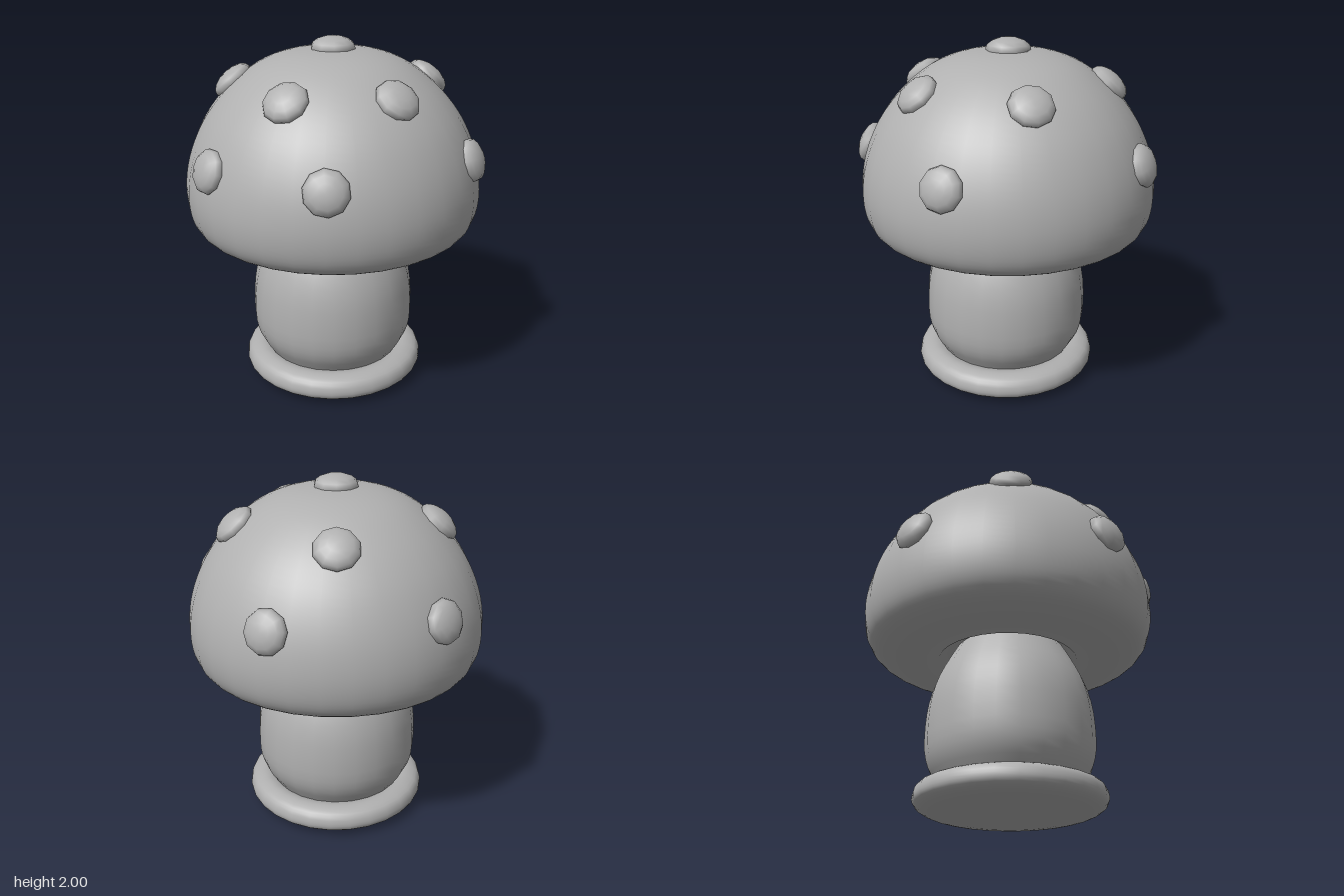
import * as THREE from 'three';

const toPoints = (list) => list.map(([r, y]) => new THREE.Vector2(r, y));

export function createModel() {
  const group = new THREE.Group();
  const clay = new THREE.MeshStandardMaterial({ name: 'clay grey', color: 0xb0b0b0 });

  const addPart = (name, geometry, x, z) => {
    const mesh = new THREE.Mesh(geometry, clay);
    mesh.name = name;
    mesh.position.set(x, 0, z);
    group.add(mesh);
    return mesh;
  };

  // Rounded foot disc
  const footCurve = new THREE.SplineCurve(toPoints([
    [0.36, 0.005], [0.46, 0.02], [0.515, 0.05], [0.528, 0.09],
    [0.51, 0.14], [0.46, 0.165], [0.41, 0.165], [0.35, 0.14],
  ]));
  const footProfile = [new THREE.Vector2(0, 0), ...footCurve.getPoints(20)];
  addPart('foot', new THREE.LatheGeometry(footProfile, 28), -0.005, 0.03);

  // Bulging stem, running up into the cap
  const stemCurve = new THREE.SplineCurve(toPoints([
    [0.36, 0.1], [0.4, 0.17], [0.45, 0.26], [0.472, 0.38], [0.462, 0.58],
    [0.42, 0.74], [0.345, 0.89], [0.28, 1.0],
  ]));
  addPart('stem', new THREE.LatheGeometry(stemCurve.getPoints(18), 24), -0.01, 0.03);

  // Domed cap with a rolled rim and a slightly hollow underside
  const cx = -0.01, cz = 0.015;
  const capCurve = new THREE.SplineCurve(toPoints([
    [0.6, 0.885], [0.7, 0.91], [0.775, 0.955], [0.818, 1.04], [0.832, 1.17],
    [0.812, 1.32], [0.76, 1.47], [0.68, 1.61], [0.56, 1.745], [0.4, 1.86],
    [0.22, 1.92], [0, 1.937],
  ]));
  const capOuter = capCurve.getPoints(40);
  capOuter[40].x = 0;
  const capProfile = [...toPoints([[0, 0.96], [0.34, 0.95], [0.4, 0.888], [0.5, 0.884]]), ...capOuter];
  addPart('cap', new THREE.LatheGeometry(capProfile, 32), cx, cz);

  // Finds the point and outward slope of the cap at a given height
  const capAt = (y) => {
    let lo = 0, hi = 1;
    for (let i = 0; i < 30; i++) {
      const mid = (lo + hi) / 2;
      if (capCurve.getPoint(mid).y < y) lo = mid; else hi = mid;
    }
    const tangent = capCurve.getTangent(lo);
    return { r: capCurve.getPoint(lo).x, nr: tangent.y, ny: -tangent.x };
  };

  // Flattened round spots: direction x, z and height on the cap
  const spotGeometry = new THREE.SphereGeometry(1, 10, 8);
  const addSpot = (dx, dz, y, radius) => {
    const length = Math.hypot(dx, dz) || 1;
    const ux = dx / length, uz = dz / length;
    const at = dx || dz ? capAt(y) : { r: 0, nr: 0, ny: 1 };
    const spot = addPart('spot', spotGeometry, cx + ux * at.r, cz + uz * at.r);
    spot.position.y = y;
    const normal = new THREE.Vector3(ux * at.nr, at.ny, uz * at.nr).normalize();
    spot.quaternion.setFromUnitVectors(new THREE.Vector3(0, 1, 0), normal);
    spot.scale.set(radius, 0.063, radius);
  };

  addSpot(0, 0, 1.937, 0.125);
  const upperSpots = [[-0.15, -0.49], [0.48, -0.27], [0.42, 0.36], [-0.1, 0.52], [-0.54, 0.1]];
  for (const [x, z] of upperSpots) addSpot(x, z, 1.75, 0.123);
  const lowerSpots = [[0.12, -0.79], [-0.69, -0.4], [-0.5, 0.61], [0.16, 0.77], [0.78, 0.09]];
  for (const [x, z] of lowerSpots) addSpot(x, z, 1.385, 0.12);

  return group;
}
